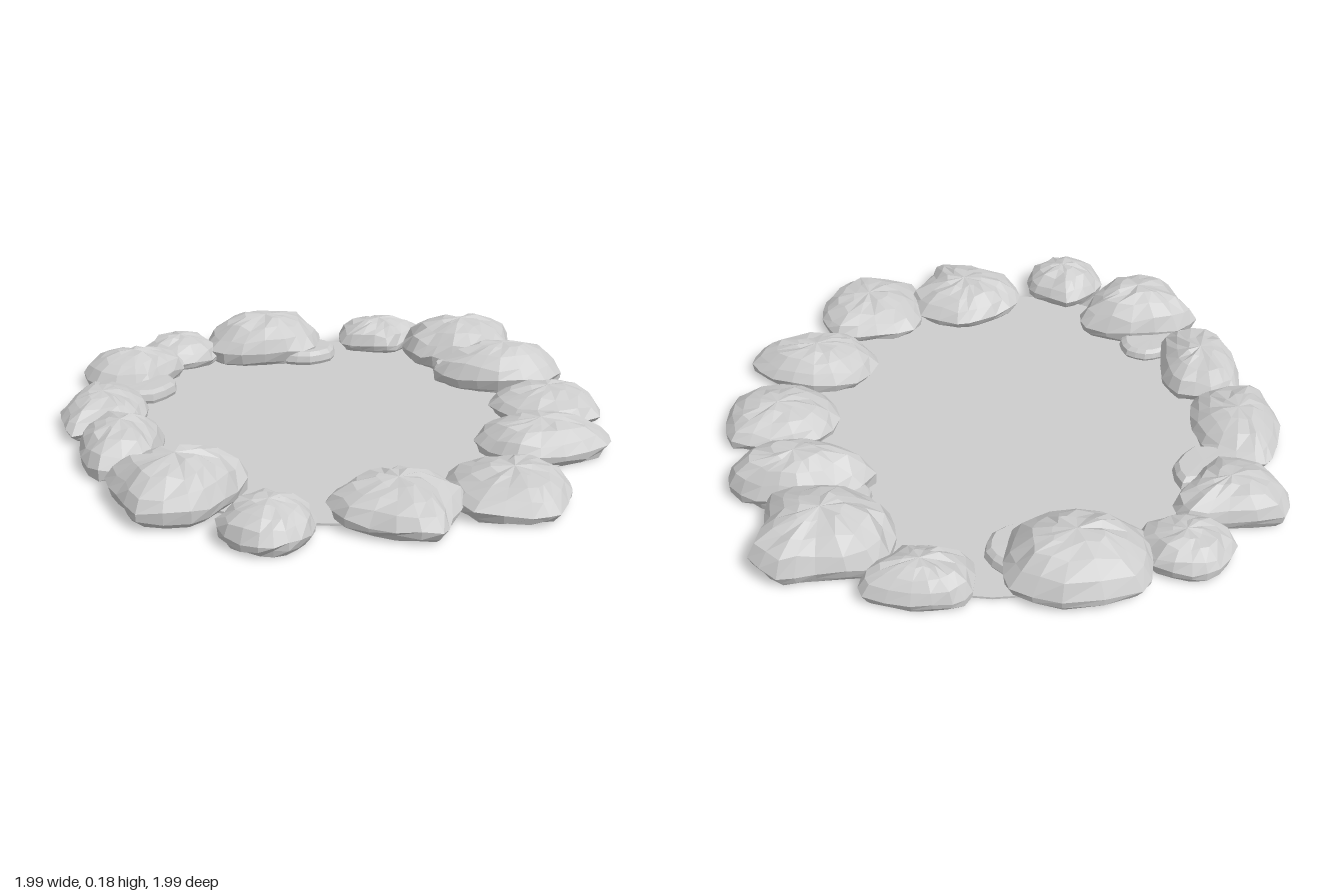
import * as THREE from 'three';

const stone = new THREE.MeshStandardMaterial({ color: 0xcccccc });
stone.name = 'grey stone';

// Seeded noise in the range -1..1
let seed = 7;
function noise() {
  seed = (seed * 16807) % 2147483647;
  return (seed / 2147483647) * 2 - 1;
}

// Boulder section from the ground up: [fraction of height, fraction of outline]
const BOULDER = [[0, 0.84], [0.14, 0.95], [0.33, 1], [0.6, 0.86], [0.83, 0.62], [0.96, 0.32]];
const SLAB = [[0, 0.9], [0.35, 1], [0.75, 0.95], [1, 0.8]];

// Faceted rock: a plan outline (x, z pairs, clockwise from above) swept up a section
function makeRock(name, height, plan, section = BOULDER) {
  const corners = [];
  for (let i = 0; i < plan.length; i += 2) corners.push(new THREE.Vector3(plan[i], 0, plan[i + 1]));
  const curve = new THREE.CatmullRomCurve3(corners, true, 'catmullrom', 0.35);
  const n = corners.length * 2;
  const centre = new THREE.Vector3();
  corners.forEach((p) => centre.addScaledVector(p, 1 / corners.length));

  const rough = section === BOULDER ? 1 : 0.2;
  const pos = [];
  const index = [];
  section.forEach(([fy, fr], k) => {
    for (let i = 0; i < n; i++) {
      const p = curve.getPoint(i / n);
      const r = fr === 1 ? 1 : fr + noise() * 0.045 * rough;
      const y = k === 0 ? 0 : height * Math.min(1, fy + noise() * 0.06 * rough);
      pos.push(centre.x + (p.x - centre.x) * r, y, centre.z + (p.z - centre.z) * r);
    }
  });
  const bottom = pos.length / 3;
  pos.push(centre.x, 0, centre.z, centre.x, height, centre.z);
  const last = (section.length - 1) * n;
  for (let i = 0; i < n; i++) {
    const j = (i + 1) % n;
    for (let k = 0; k < last; k += n) {
      index.push(k + i, k + n + i, k + j, k + j, k + n + i, k + n + j);
    }
    index.push(bottom, i, j, last + i, bottom + 1, last + j);
  }
  const indexed = new THREE.BufferGeometry();
  indexed.setAttribute('position', new THREE.Float32BufferAttribute(pos, 3));
  indexed.setIndex(index);
  const geometry = indexed.toNonIndexed(); // separate faces give hard facets
  geometry.computeVertexNormals();
  const mesh = new THREE.Mesh(geometry, stone);
  mesh.name = name;
  return mesh;
}

export function createModel() {
  seed = 7;
  const group = new THREE.Group();
  group.name = 'stoneRing';
  const rock = (...args) => group.add(makeRock(...args));

  // Flat floor inside the ring
  const floor = new THREE.Mesh(new THREE.CylinderGeometry(0.86, 0.86, 0.008, 32), stone);
  floor.name = 'floor';
  floor.position.set(0.02, 0.004, -0.06);
  group.add(floor);

  // Back rocks
  rock('backLargeRock', 0.18, [-.48, -.82, -.44, -.94, -.19, -.99, -.03, -.93, -.01, -.82, -.04, -.68, -.15, -.63, -.34, -.61, -.47, -.68]);
  rock('backLeftRock', 0.13, [.08, -.8, .08, -.93, .14, -.98, .27, -.99, .42, -.95, .43, -.88, .35, -.79, .27, -.74, .16, -.77]);
  rock('backLeftLargeRock', 0.18, [.33, -.71, .38, -.85, .57, -.87, .69, -.89, .79, -.81, .76, -.66, .77, -.53, .59, -.49, .43, -.53, .36, -.6]);
  rock('backRightRock', 0.12, [-.76, -.72, -.69, -.83, -.6, -.86, -.48, -.82, -.43, -.72, -.46, -.64, -.6, -.58, -.72, -.62]);

  // Left rocks
  rock('leftBackRock', 0.17, [.42, -.4, .52, -.52, .66, -.55, .81, -.53, .91, -.46, .92, -.36, .84, -.27, .65, -.25, .5, -.31]);
  rock('leftMiddleRock', 0.115, [.58, -.07, .64, -.19, .81, -.24, .95, -.21, .99, -.1, .97, .06, .81, .11, .65, .06]);
  rock('leftFrontRock', 0.13, [.47, .26, .54, .14, .7, .11, .86, .16, .95, .25, .92, .35, .76, .42, .59, .42, .51, .35]);

  // Front rocks
  rock('frontLeftRock', 0.12, [.32, .65, .35, .5, .49, .45, .65, .45, .72, .56, .72, .68, .65, .83, .56, .85, .38, .82]);
  rock('frontMiddleRock', 0.135, [-.07, .73, -.03, .64, .09, .56, .18, .53, .33, .59, .38, .71, .31, .86, .27, .95, .13, .93, -.02, .85]);
  rock('frontSmallRock', 0.13, [-.41, .82, -.34, .73, -.26, .69, -.13, .76, -.1, .83, -.12, .92, -.19, .99, -.28, 1, -.38, .93]);
  rock('frontRightRock', 0.18, [-.77, .54, -.69, .47, -.5, .44, -.33, .49, -.31, .57, -.38, .71, -.48, .81, -.65, .8, -.72, .67]);

  // Right rocks
  rock('rightFrontRock', 0.145, [-.89, .2, -.87, .08, -.77, .05, -.65, .08, -.6, .17, -.61, .33, -.64, .44, -.8, .46, -.87, .35]);
  rock('rightMiddleRock', 0.12, [-1, -.1, -.94, -.29, -.88, -.32, -.74, -.28, -.68, -.13, -.69, .01, -.74, .08, -.93, .13, -.97, .03]);
  rock('rightBackRock', 0.14, [-.96, -.48, -.93, -.6, -.74, -.62, -.6, -.62, -.57, -.53, -.65, -.41, -.74, -.31, -.9, -.35]);

  // Low slabs tucked beside the larger rocks
  rock('backSlab', 0.06, [-.16, -.72, -.12, -.83, -.01, -.83, .05, -.76, .03, -.67, -.06, -.62, -.16, -.64], SLAB);
  rock('leftSlab', 0.06, [.43, -.47, .45, -.54, .56, -.54, .56, -.44, .48, -.42], SLAB);
  rock('frontSlab', 0.05, [-.76, .43, -.62, .35, -.55, .33, -.48, .36, -.46, .43, -.5, .52, -.7, .54], SLAB);
  rock('rightSlab', 0.06, [-.82, -.3, -.7, -.4, -.61, -.43, -.59, -.33, -.67, -.23, -.78, -.24], SLAB);

  return group;
}
